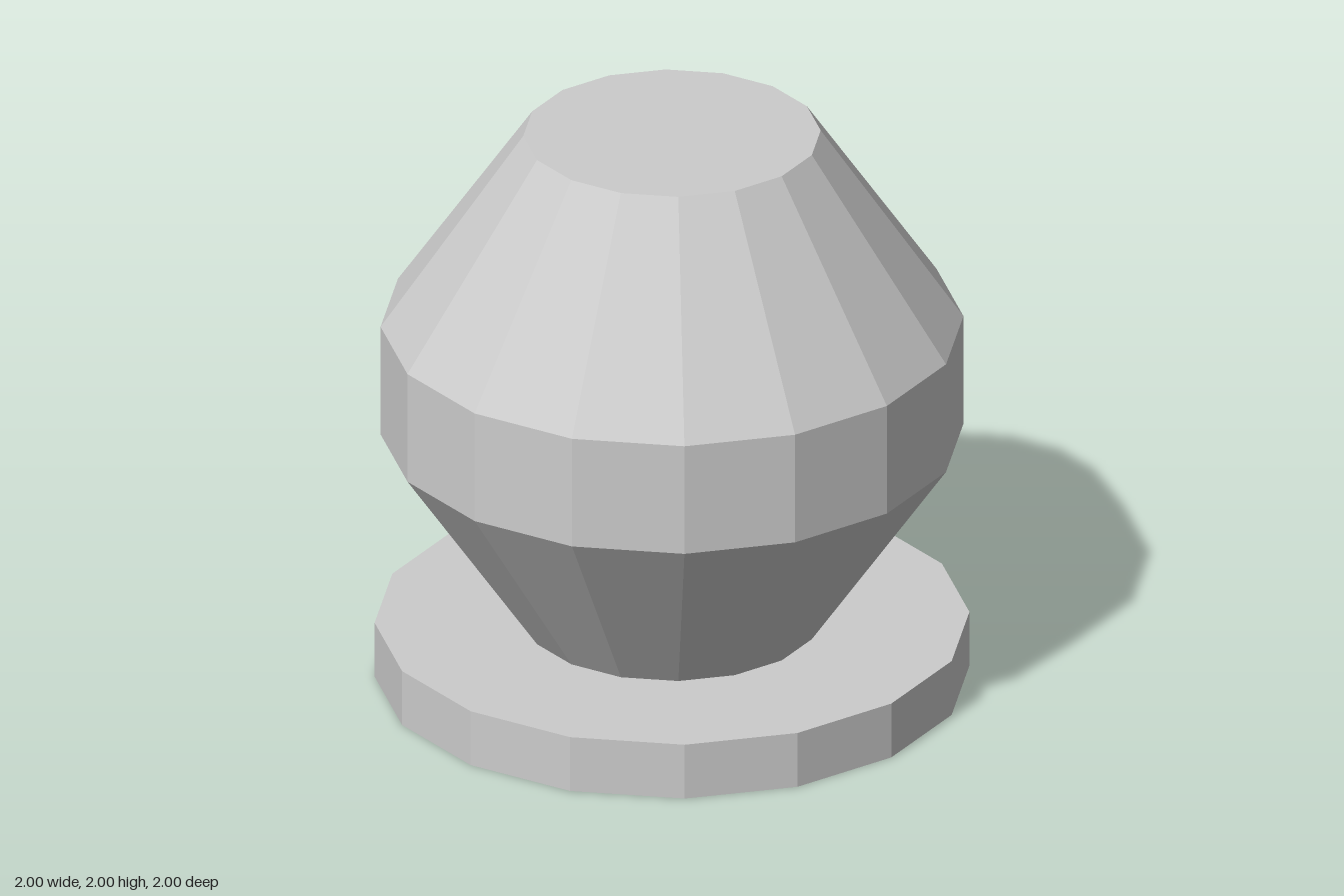
import * as THREE from 'three';

const SIDES = 16;

export function createModel() {
  const model = new THREE.Group();
  const material = new THREE.MeshStandardMaterial({ color: 0xcccccc, flatShading: true });

  // Solid faceted of revolution from [radius, y] points, listed bottom to top
  const addTurned = (name, profile) => {
    const points = profile.map(([r, y]) => new THREE.Vector2(r, y));
    const mesh = new THREE.Mesh(new THREE.LatheGeometry(points, SIDES), material);
    mesh.name = name;
    model.add(mesh);
  };

  // Flat round foot
  addTurned('base', [[0, 0], [1, 0], [1, 0.2], [0, 0.2]]);

  // Barrel-shaped body: flares out, straight band, tapers to a flat top
  addTurned('body', [[0, 0.2], [0.5, 0.2], [0.98, 0.9], [0.98, 1.3], [0.5, 2], [0, 2]]);

  return model;
}
